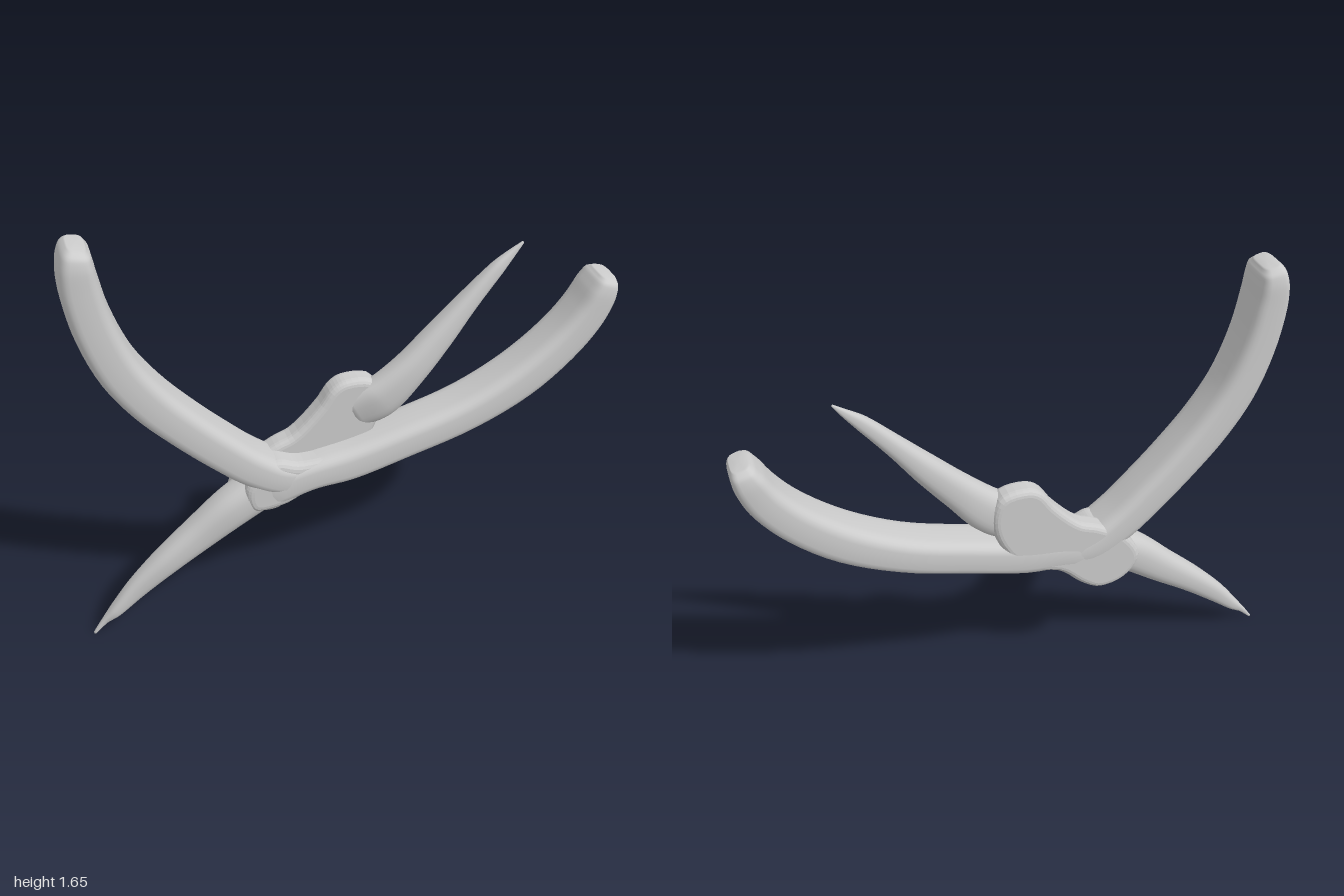
import * as THREE from 'three';

const material = new THREE.MeshStandardMaterial({ color: 0xcccccc });

// Sweeps a rounded-box section along stations [x, y, halfWidth, zMin, zMax]
function sweep(name, stations, squareness, steps = 48, sides = 28) {
  const path = new THREE.CatmullRomCurve3(stations.map(s => new THREE.Vector3(s[0], s[1], 0)));
  const size = new THREE.CatmullRomCurve3(stations.map(s => new THREE.Vector3(s[2], s[3], s[4])));
  const round = v => Math.sign(v) * Math.pow(Math.abs(v), squareness);
  const positions = [], index = [];
  for (let i = 0; i <= steps; i++) {
    const u = i / steps, c = path.getPoint(u), t = path.getTangent(u), s = size.getPoint(u);
    const zMid = (s.y + s.z) / 2, zHalf = (s.z - s.y) / 2;
    for (let j = 0; j < sides; j++) {
      const a = (j / sides) * Math.PI * 2;
      const w = s.x * round(Math.cos(a));
      positions.push(c.x - t.y * w, c.y + t.x * w, zMid + zHalf * round(Math.sin(a)));
    }
  }
  for (let i = 0; i < steps; i++) {
    for (let j = 0; j < sides; j++) {
      const a = i * sides + j, b = i * sides + (j + 1) % sides;
      index.push(a, b, a + sides, b, b + sides, a + sides);
    }
  }
  // End caps
  for (const [row, s] of [[0, stations[0]], [steps, stations[stations.length - 1]]]) {
    const centre = positions.length / 3;
    positions.push(s[0], s[1], (s[3] + s[4]) / 2);
    for (let j = 0; j < sides; j++) {
      const a = row * sides + j, b = row * sides + (j + 1) % sides;
      if (row === 0) index.push(centre, b, a);
      else index.push(centre, a, b);
    }
  }
  const geometry = new THREE.BufferGeometry();
  geometry.setAttribute('position', new THREE.Float32BufferAttribute(positions, 3));
  geometry.setIndex(index);
  geometry.computeVertexNormals();
  const mesh = new THREE.Mesh(geometry, material);
  mesh.name = name;
  return mesh;
}

// Flat bevelled plate through a smooth closed outline
function plate(name, outline, zMin, zMax, bevel) {
  const curve = new THREE.CatmullRomCurve3(outline.map(p => new THREE.Vector3(p[0], p[1], 0)), true);
  const shape = new THREE.Shape(curve.getPoints(64).slice(0, -1).map(p => new THREE.Vector2(p.x, p.y)));
  const geometry = new THREE.ExtrudeGeometry(shape, {
    depth: zMax - zMin - 2 * bevel, bevelSize: bevel, bevelOffset: -bevel,
    bevelThickness: bevel, bevelSegments: 4,
  });
  geometry.translate(0, 0, zMin + bevel);
  const mesh = new THREE.Mesh(geometry, material);
  mesh.name = name;
  return mesh;
}

export function createModel() {
  const group = new THREE.Group();
  group.name = 'pliers';

  // Curved handles with blunt rounded ends
  group.add(sweep('upperHandle', [
    [-0.875, 1.648, 0.028, -0.055, 0.055], [-0.88, 1.625, 0.047, -0.082, 0.082],
    [-0.885, 1.58, 0.058, -0.09, 0.09], [-0.882, 1.5, 0.066, -0.09, 0.09],
    [-0.855, 1.35, 0.07, -0.09, 0.09], [-0.795, 1.18, 0.073, -0.09, 0.09],
    [-0.705, 1.035, 0.074, -0.09, 0.09], [-0.6, 0.91, 0.073, -0.09, 0.09],
    [-0.48, 0.785, 0.072, -0.09, 0.09], [-0.36, 0.675, 0.07, -0.09, 0.09],
    [-0.25, 0.61, 0.064, -0.09, 0.088], [-0.12, 0.6, 0.045, -0.085, 0.07],
  ], 0.55));
  group.add(sweep('lowerHandle', [
    [0.968, 1.23, 0.03, -0.055, 0.055], [0.962, 1.21, 0.045, -0.082, 0.078],
    [0.945, 1.165, 0.058, -0.09, 0.085], [0.905, 1.085, 0.066, -0.09, 0.085],
    [0.82, 0.98, 0.071, -0.09, 0.085], [0.66, 0.85, 0.074, -0.09, 0.088],
    [0.45, 0.745, 0.07, -0.09, 0.09], [0.2, 0.672, 0.069, -0.09, 0.09],
    [0, 0.622, 0.07, -0.09, 0.09], [-0.15, 0.605, 0.064, -0.09, 0.09],
    [-0.28, 0.57, 0.07, -0.085, 0.085], [-0.38, 0.53, 0.06, -0.06, 0.06],
  ], 0.55));

  // Tapering jaws with thin points
  group.add(sweep('upperJaw', [
    [0.03, 0.79, 0.08, -0.085, 0.0], [0.13, 0.845, 0.083, -0.075, 0.035],
    [0.24, 0.95, 0.066, -0.065, 0.042], [0.35, 1.07, 0.053, -0.065, 0.032],
    [0.45, 1.185, 0.038, -0.058, 0.018], [0.56, 1.305, 0.026, -0.045, 0.002],
    [0.61, 1.352, 0.015, -0.036, -0.01], [0.65, 1.39, 0.004, -0.026, -0.018],
  ], 0.8));
  group.add(sweep('lowerJaw', [
    [-0.33, 0.56, 0.08, -0.07, 0.075], [-0.44, 0.495, 0.078, -0.06, 0.072],
    [-0.57, 0.395, 0.066, -0.055, 0.058], [-0.7, 0.295, 0.053, -0.048, 0.05],
    [-0.82, 0.19, 0.04, -0.035, 0.035], [-0.91, 0.1, 0.024, -0.025, 0.028],
    [-0.955, 0.058, 0.012, -0.012, 0.014], [-0.998, 0.008, 0.005, -0.004, 0.008],
  ], 0.8));

  // Joint plate behind, spanning from jaw shoulder to jaw shoulder
  group.add(plate('jointPlate', [
    [0.0, 0.94], [0.1, 0.925], [0.135, 0.84], [0.11, 0.72], [0, 0.58], [-0.12, 0.54],
    [-0.21, 0.46], [-0.28, 0.422], [-0.38, 0.445], [-0.44, 0.53], [-0.39, 0.635],
    [-0.27, 0.715], [-0.2, 0.745], [-0.1, 0.845], [-0.05, 0.915],
  ], -0.088, 0.0, 0.025));

  // Low front web blending the crossing handles
  group.add(plate('frontWeb', [
    [-0.32, 0.69], [-0.27, 0.7], [-0.2, 0.675], [0.0, 0.66], [0.0, 0.58],
    [-0.14, 0.555], [-0.26, 0.5], [-0.38, 0.5], [-0.4, 0.6],
  ], -0.06, 0.08, 0.03));
  return group;
}
